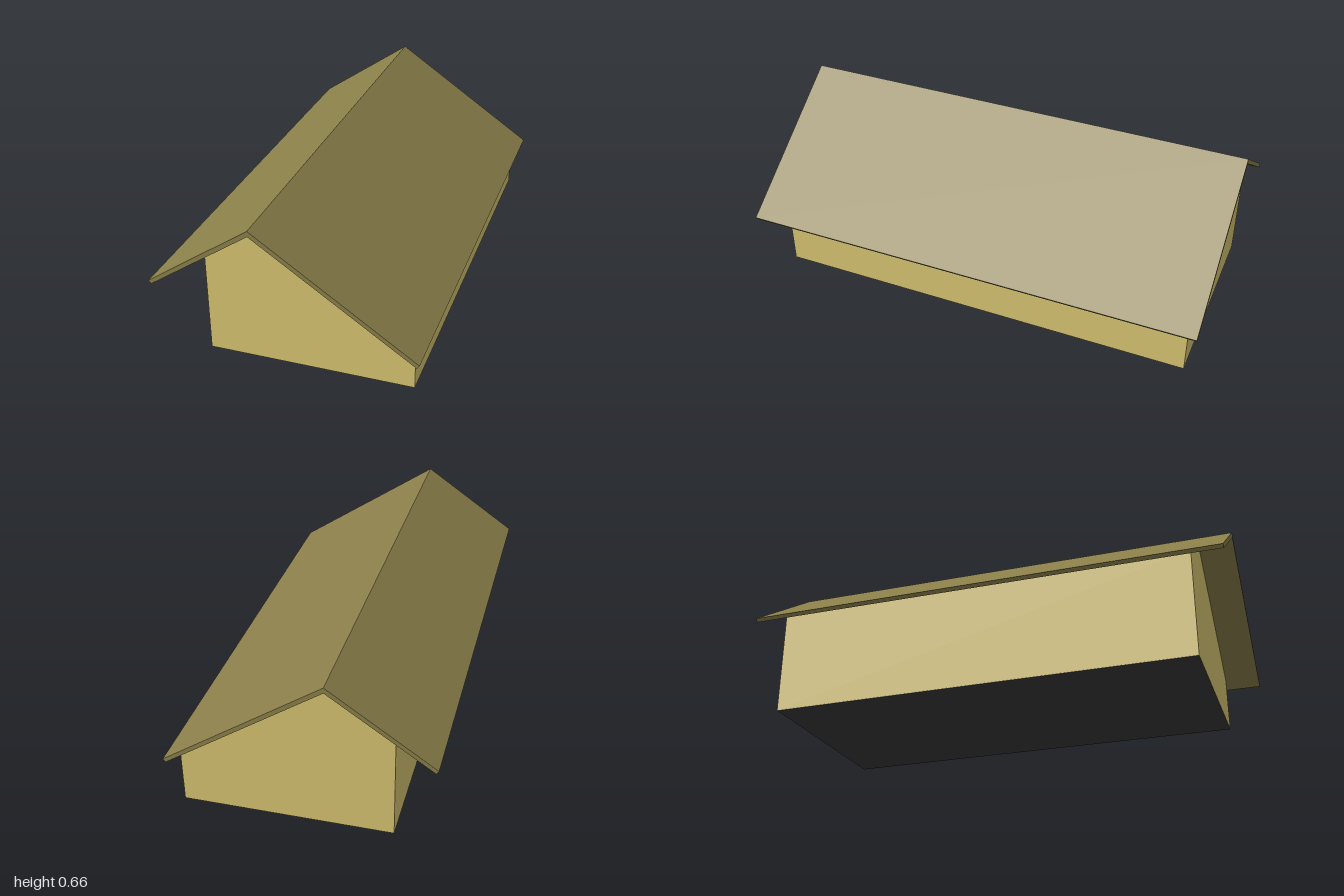
import * as THREE from 'three';

const RIDGE_X = -0.114;

// Extrudes an outline in x/y from z = back to z = front
function prism(name, outline, back, front, color) {
  const shape = new THREE.Shape(outline.map(([x, y]) => new THREE.Vector2(x, y)));
  const geometry = new THREE.ExtrudeGeometry(shape, { depth: front - back, bevelEnabled: false });
  geometry.translate(0, 0, back);
  const mesh = new THREE.Mesh(geometry, new THREE.MeshStandardMaterial({ color }));
  mesh.name = name;
  return mesh;
}

export function createModel() {
  const house = new THREE.Group();
  house.name = 'house';

  // Walls with off-centre gables, set further in at the front than at the back
  house.add(prism('walls', [
    [-0.367, 0.001], [0.477, 0.001], [0.477, 0.234], [RIDGE_X, 0.634], [-0.367, 0.462],
  ], -0.955, 0.855, 0xd8c572));

  // Dark floor just under the walls
  house.add(prism('floor', [
    [-0.366, 0], [0.476, 0], [0.476, 0.01], [-0.366, 0.01],
  ], -0.954, 0.854, 0x3a3a3a));

  // Two roof slabs meeting at the ridge, with square-cut eaves
  const slopes = [
    ['roofRight', [-0.534, 0.369], [-0.524, 0.355]],
    ['roofLeft', [0.531, 0.22], [0.521, 0.206]],
  ];
  for (const [name, eaveTop, eaveBottom] of slopes) {
    house.add(prism(name, [
      [RIDGE_X, 0.657], eaveTop, eaveBottom, [RIDGE_X, 0.634],
    ], -1, 1, 0x8b804a));
  }

  return house;
}
